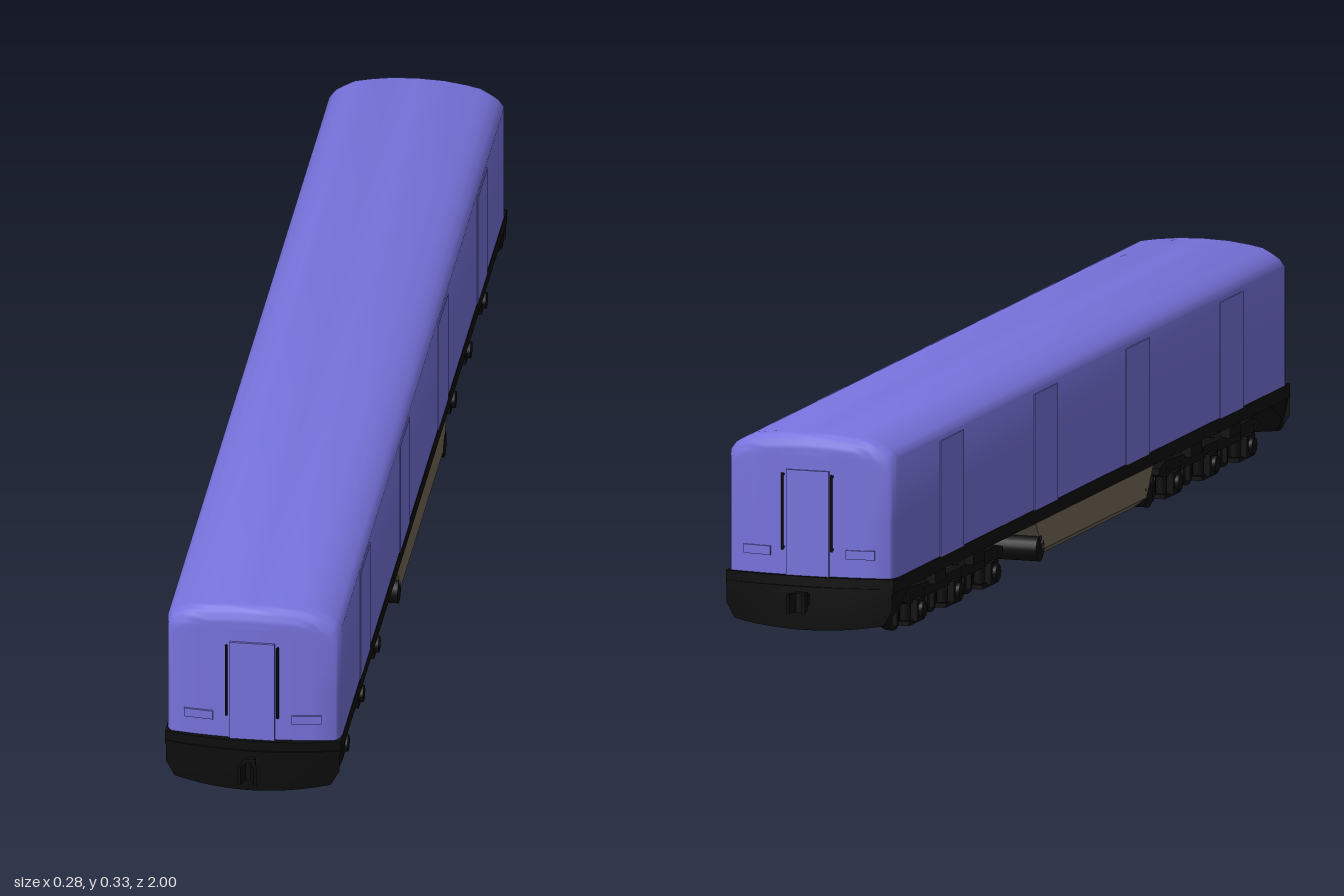
import * as THREE from 'three';
import { toCreasedNormals } from 'three/addons/utils/BufferGeometryUtils.js';

const mat = (name, color) => {
  const m = new THREE.MeshStandardMaterial({ color });
  m.name = name;
  return m;
};

export function createModel() {
  const paint = mat('periwinkle paint', 0x7773dd);
  const black = mat('black steel', 0x0d0d0d);
  const taupe = mat('taupe metal', 0x756b5a);
  const model = new THREE.Group();
  model.name = 'railCar';

  const add = (parent, name, geo, material, x = 0, y = 0, z = 0) => {
    const m = new THREE.Mesh(geo, material);
    m.name = name;
    m.position.set(x, y, z);
    parent.add(m);
    return m;
  };
  const box = (parent, name, w, h, d, material, x, y, z) =>
    add(parent, name, new THREE.BoxGeometry(w, h, d), material, x, y, z);
  const group = (parent, name, z = 0) => {
    const g = new THREE.Group();
    g.name = name;
    g.position.z = z;
    parent.add(g);
    return g;
  };
  // Move every vertex by a rule
  const warp = (geo, rule) => {
    const p = geo.attributes.position, v = new THREE.Vector3();
    for (let i = 0; i < p.count; i++) {
      v.fromBufferAttribute(p, i);
      rule(v);
      p.setXYZ(i, v.x, v.y, v.z);
    }
    geo.computeVertexNormals();
    return geo;
  };
  const shape = pts => new THREE.Shape(pts.map(p => new THREE.Vector2(...p)));
  const extrude = (pts, depth, steps = 1) => new THREE.ExtrudeGeometry(shape(pts),
    { depth, steps, bevelEnabled: false }).translate(0, 0, -depth / 2);
  const axleCylinder = (r, length, sides = 20) =>
    new THREE.CylinderGeometry(r, r, length, sides).rotateZ(Math.PI / 2);

  // Body shell: arched cross-section, rounded and bowed at both ends
  const half = [[0.136, 0.108], [0.136, 0.2], [0.136, 0.298], [0.127, 0.309], [0.113, 0.317],
    [0.098, 0.324], [0.075, 0.3275], [0.04, 0.331]];
  const profile = [...half, [0, 0.332], ...half.slice().reverse().map(([x, y]) => [-x, y])];
  const R = 0.024, endRings = [];
  for (let i = 0; i <= 6; i++) {
    const t = i / 6 * Math.PI / 2;
    endRings.push({ z: 0.914 + R * Math.sin(t), inset: R * (1 - Math.cos(t)), k: 1 });
  }
  for (const k of [0.75, 0.5, 0.25, 0]) endRings.push({ z: 0.914 + R, inset: R, k });
  const rings = [...endRings.slice().reverse().map(r => ({ ...r, z: -r.z })), ...endRings];
  const pos = [], idx = [], n = profile.length;
  rings.forEach(({ z, inset, k }, j) => profile.forEach(([px, py], i) => {
    const x = px * (1 - inset * 0.45 / 0.136) * k;
    const y = py - inset * (py - 0.108) / 0.224;
    pos.push(x, y, z - Math.sign(z) * 0.013 * (x / 0.136) ** 2);
    if (j < rings.length - 1 && i < n - 1) {
      const a = j * n + i, c = a + n;
      idx.push(a, a + 1, c, a + 1, c + 1, c);
    }
  }));
  const shell = new THREE.BufferGeometry();
  shell.setAttribute('position', new THREE.Float32BufferAttribute(pos, 3));
  shell.setIndex(idx);
  add(model, 'bodyShell', toCreasedNormals(shell, 0.7), paint);

  // Side doors
  for (const s of [1, -1])
    for (const z of [0.655, 0.215, -0.215, -0.655])
      box(model, 'sideDoor', 0.004, 0.182, 0.108, paint, s * 0.1355, 0.2, z);

  // Underframe with bowed ends
  const deck = [];
  for (const s of [1, -1])
    for (let i = -6; i <= 6; i++) {
      const x = i / 6 * 0.137;
      deck.push([-s * x, s * (0.948 - 0.018 * (x / 0.137) ** 2)]);
    }
  const deckGeo = extrude(deck.reverse(), 0.022).rotateX(-Math.PI / 2);
  add(model, 'underframe', deckGeo, black, 0, 0.099, 0);
  box(model, 'centreSill', 0.12, 0.03, 1.8, black, 0, 0.078, 0);

  // End details, repeated by turning half way round
  for (const turn of [0, Math.PI]) {
    const end = group(model, turn ? 'rearEnd' : 'frontEnd');
    end.rotation.y = turn;
    box(end, 'endDoor', 0.07, 0.166, 0.008, paint, 0, 0.192, 0.9375);
    for (const s of [1, -1]) {
      add(end, 'handrail', new THREE.CylinderGeometry(0.002, 0.002, 0.12, 8), black, s * 0.04, 0.21, 0.943);
      for (const y of [0.153, 0.267])
        box(end, 'handrailBracket', 0.003, 0.003, 0.012, black, s * 0.04, y, 0.938);
      const lamp = box(end, 'lampPlate', 0.046, 0.014, 0.006, paint, s * 0.084, 0.146, 0.933);
      lamp.rotation.y = s * 0.12;
    }
    // Pilot: side profile swept across, bowed and narrowed at the foot
    const pilot = extrude([[-0.952, 0.095], [-0.952, 0.06], [-0.95, 0.027], [-0.935, 0.027],
      [-0.915, 0.062], [-0.86, 0.092]], 0.27, 12).rotateY(Math.PI / 2);
    warp(pilot, v => {
      v.x *= v.y < 0.05 ? 0.9 : 1;
      const u = v.x / 0.135;
      if (v.y < 0.05) v.y += 0.012 * u * u;
      v.z -= 0.02 * u * u;
    });
    add(end, 'pilot', toCreasedNormals(pilot, 0.5), black);
    // Coupler
    box(end, 'couplerShank', 0.014, 0.018, 0.04, black, 0, 0.076, 0.96);
    box(end, 'couplerHead', 0.02, 0.03, 0.014, black, 0, 0.075, 0.976);
    for (const s of [1, -1]) {
      const jaw = box(end, 'couplerJaw', 0.006, 0.03, 0.022, black, s * 0.009, 0.075, 0.9882);
      jaw.rotation.y = s * 0.35;
    }
  }

  // Tank between the trucks, ends sloping in towards the bottom
  const belly = group(model, 'belly', 0.015);
  const tank = extrude([[-0.136, 0.092], [-0.136, 0.042], [-0.118, 0.027], [0.118, 0.027],
    [0.136, 0.042], [0.136, 0.092]], 0.56);
  warp(tank, v => { v.z *= 1 - 0.18 * (0.092 - v.y) / 0.065; });
  add(belly, 'tank', toCreasedNormals(tank, 0.3), taupe);
  box(belly, 'tankFloor', 0.16, 0.008, 0.45, black, 0, 0.026, 0);
  for (const s of [1, -1]) {
    add(belly, 'airReservoir', axleCylinder(0.02, 0.272), black, 0, 0.045, s * 0.255);
    box(belly, 'reservoirHanger', 0.14, 0.035, 0.015, black, 0, 0.075, s * 0.268);
  }

  // Three-axle trucks
  const axles = [0.173, 0, -0.173];
  for (const z of [0.613, -0.588]) {
    const truck = group(model, 'truck', z);
    box(truck, 'bolster', 0.16, 0.03, 0.12, black, 0, 0.08, 0);
    for (const e of [1, -1]) box(truck, 'endTransom', 0.116, 0.014, 0.012, black, 0, 0.02, e * 0.222);
    axles.forEach(a => {
      add(truck, 'axle', axleCylinder(0.01, 0.21, 12), black, 0, 0.036, a);
      box(truck, 'tractionMotor', 0.11, 0.05, 0.07, taupe, 0, 0.039, a - Math.sign(z) * 0.045);
      for (const s of [1, -1]) {
        add(truck, 'wheel', axleCylinder(0.036, 0.012, 24), black, s * 0.074, 0.036, a);
        add(truck, 'wheelFlange', axleCylinder(0.034, 0.004, 24), black, s * 0.066, 0.036, a);
        box(truck, 'journalBox', 0.03, 0.034, 0.036, black, s * 0.108, 0.036, a);
        add(truck, 'journalCap', axleCylinder(0.013, 0.01, 12), black, s * 0.124, 0.036, a);
        for (const e of [1, -1]) {
          add(truck, 'spring', new THREE.CylinderGeometry(0.009, 0.009, 0.04, 10), black, s * 0.108, 0.043, a + e * 0.031);
          box(truck, 'brakeShoe', 0.014, 0.03, 0.008, black, s * 0.082, 0.034, a + e * 0.042);
          box(truck, 'brakeHanger', 0.008, 0.05, 0.006, black, s * 0.1, 0.042, a + e * 0.055);
        }
        box(truck, 'pedestalTie', 0.018, 0.007, 0.074, black, s * 0.107, 0.018, a);
      }
    });
    // Side frames with raised ends
    const frame = extrude([[-0.235, 0.056], [-0.205, 0.048], [0.205, 0.048], [0.235, 0.056],
      [0.235, 0.066], [0.2, 0.074], [0.06, 0.066], [-0.06, 0.066], [-0.2, 0.074], [-0.235, 0.066]], 0.018)
      .rotateY(Math.PI / 2);
    for (const s of [1, -1]) {
      add(truck, 'sideFrame', frame, black, s * 0.106, 0, 0);
      box(truck, 'brakeCylinder', 0.016, 0.018, 0.05, black, s * 0.118, 0.074, 0.09);
      box(truck, 'brakeCylinder', 0.016, 0.018, 0.05, black, s * 0.118, 0.074, -0.09);
    }
  }
  return model;
}
